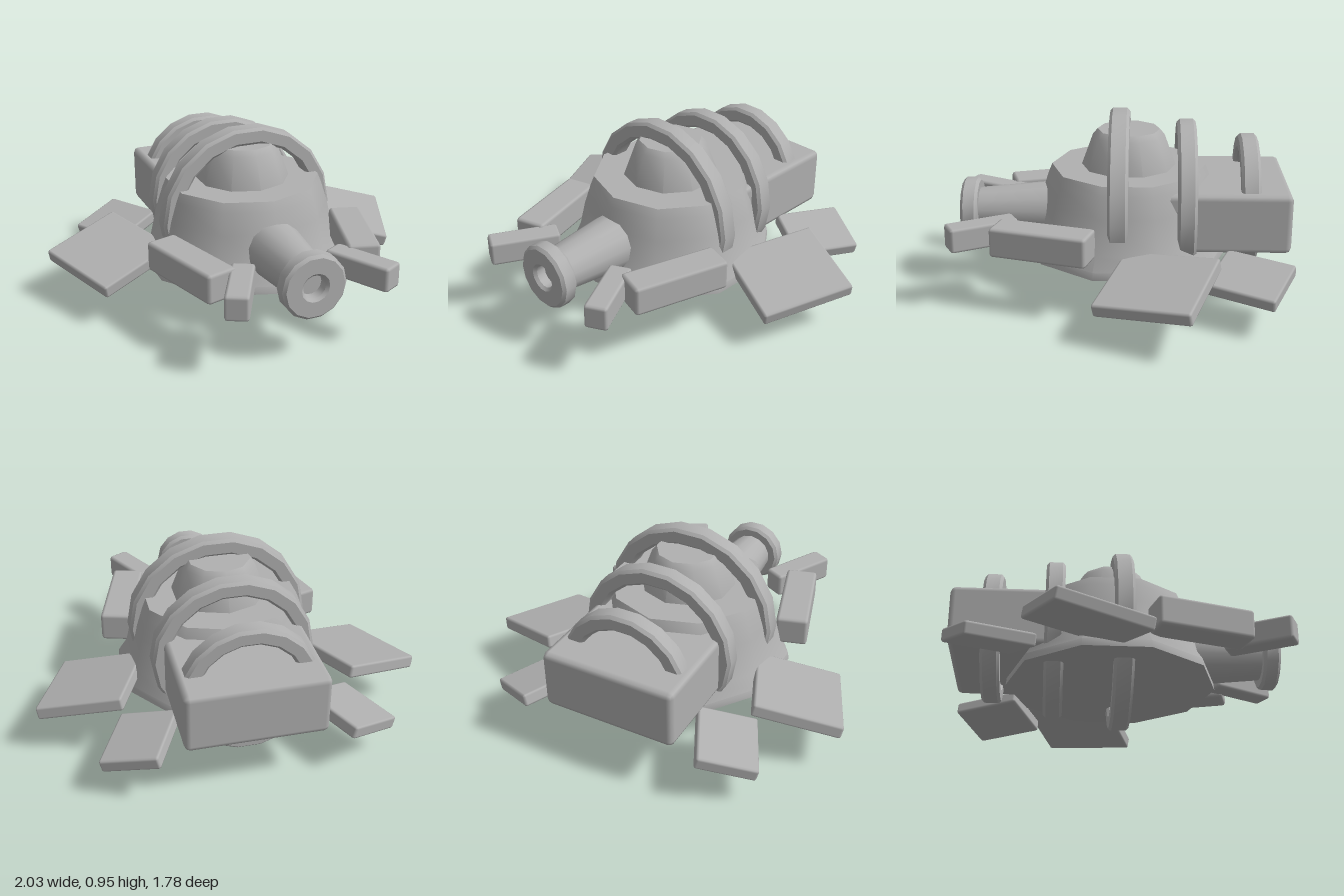
import * as THREE from 'three';
import { toCreasedNormals } from 'three/addons/utils/BufferGeometryUtils.js';
import { RoundedBoxGeometry } from 'three/addons/geometries/RoundedBoxGeometry.js';

const CREASE = 0.68;

export function createModel() {
  const model = new THREE.Group();
  const grey = new THREE.MeshStandardMaterial({ color: 0xb0b0b0 });
  grey.name = 'plain grey';

  function add(name, geometry) {
    const mesh = new THREE.Mesh(geometry, grey);
    mesh.name = name;
    model.add(mesh);
    return mesh;
  }

  // Revolved profile of [radius, height] pairs, with sharp edges kept
  function turned(profile, sides) {
    const points = profile.map(([r, y]) => new THREE.Vector2(r, y));
    return toCreasedNormals(new THREE.LatheGeometry(points, sides), CREASE);
  }

  // Chamfered ring standing upright, facing +z
  function ring(name, outer, inner, width, y, z, sides = 18) {
    const h = width / 2, c = 0.015;
    const geometry = turned([
      [inner, -h + c], [inner + c, -h], [outer - c, -h], [outer, -h + c],
      [outer, h - c], [outer - c, h], [inner + c, h], [inner, h - c], [inner, -h + c],
    ], sides);
    geometry.rotateY(Math.PI / sides).rotateX(Math.PI / 2);
    add(name, geometry).position.set(0, y, z);
  }

  // Mirrored pair of slabs: across and along are the edge vectors of the left one
  function slabPair(name, center, across, along, thickness, bevel) {
    for (const side of [1, -1]) {
      const flip = ([x, y, z]) => new THREE.Vector3(x * side, y, z);
      const u = flip(across).multiplyScalar(side), v = flip(along);
      const geometry = new RoundedBoxGeometry(u.length(), thickness, v.length(), 1, bevel);
      const xAxis = u.clone().normalize();
      const yAxis = v.clone().cross(u).normalize();
      const zAxis = xAxis.clone().cross(yAxis);
      const mesh = add((side > 0 ? 'left' : 'right') + name, geometry);
      mesh.quaternion.setFromRotationMatrix(new THREE.Matrix4().makeBasis(xAxis, yAxis, zAxis));
      mesh.position.copy(flip(center));
    }
  }

  // Ten-sided hull and the dome on top
  add('hull', turned([
    [0, 0.21], [0.555, 0.21], [0.55, 0.25], [0.505, 0.32],
    [0.465, 0.5], [0.43, 0.61], [0.41, 0.66], [0, 0.66],
  ], 10)).position.z = -0.05;
  add('dome', turned([
    [0.25, 0.64], [0.25, 0.66], [0.19, 0.825], [0.165, 0.855], [0, 0.855],
  ], 10)).position.z = -0.05;

  // Rear box
  add('rearBox', new RoundedBoxGeometry(0.72, 0.315, 0.69, 1, 0.03)).position.set(0, 0.4475, -0.545);

  // Three hoops, shrinking toward the back
  ring('frontHoop', 0.48, 0.39, 0.105, 0.473, -0.003);
  ring('middleHoop', 0.422, 0.335, 0.1, 0.475, -0.355);
  ring('rearHoop', 0.348, 0.262, 0.1, 0.475, -0.68);

  // Tapered nozzle with a flanged mouth
  const nozzle = turned([[0, 0.3], [0.155, 0.3], [0.15, 0.4], [0.113, 0.78], [0, 0.78]], 14);
  add('nozzle', nozzle.rotateX(Math.PI / 2)).position.y = 0.4;
  ring('nozzleFlange', 0.17, 0.06, 0.09, 0.4, 0.798, 14);

  // Front blocks
  slabPair('FrontBlock', [0.457, 0.382, 0.376], [0.163, 0, 0.048], [-0.145, 0, 0.495], 0.157, 0.018);
  slabPair('NoseBlock', [0.328, 0.382, 0.7], [0.106, 0, -0.056], [0.17, 0, 0.325], 0.13, 0.016);

  // Drooping side fins
  slabPair('SideFin', [0.712, 0.265, -0.202], [0.418, -0.105, 0.16], [-0.15, -0.06, 0.48], 0.07, 0.013);
  slabPair('RearFin', [0.538, 0.23, -0.667], [0.267, -0.08, 0.135], [-0.165, 0.02, 0.33], 0.068, 0.013);

  return model;
}
